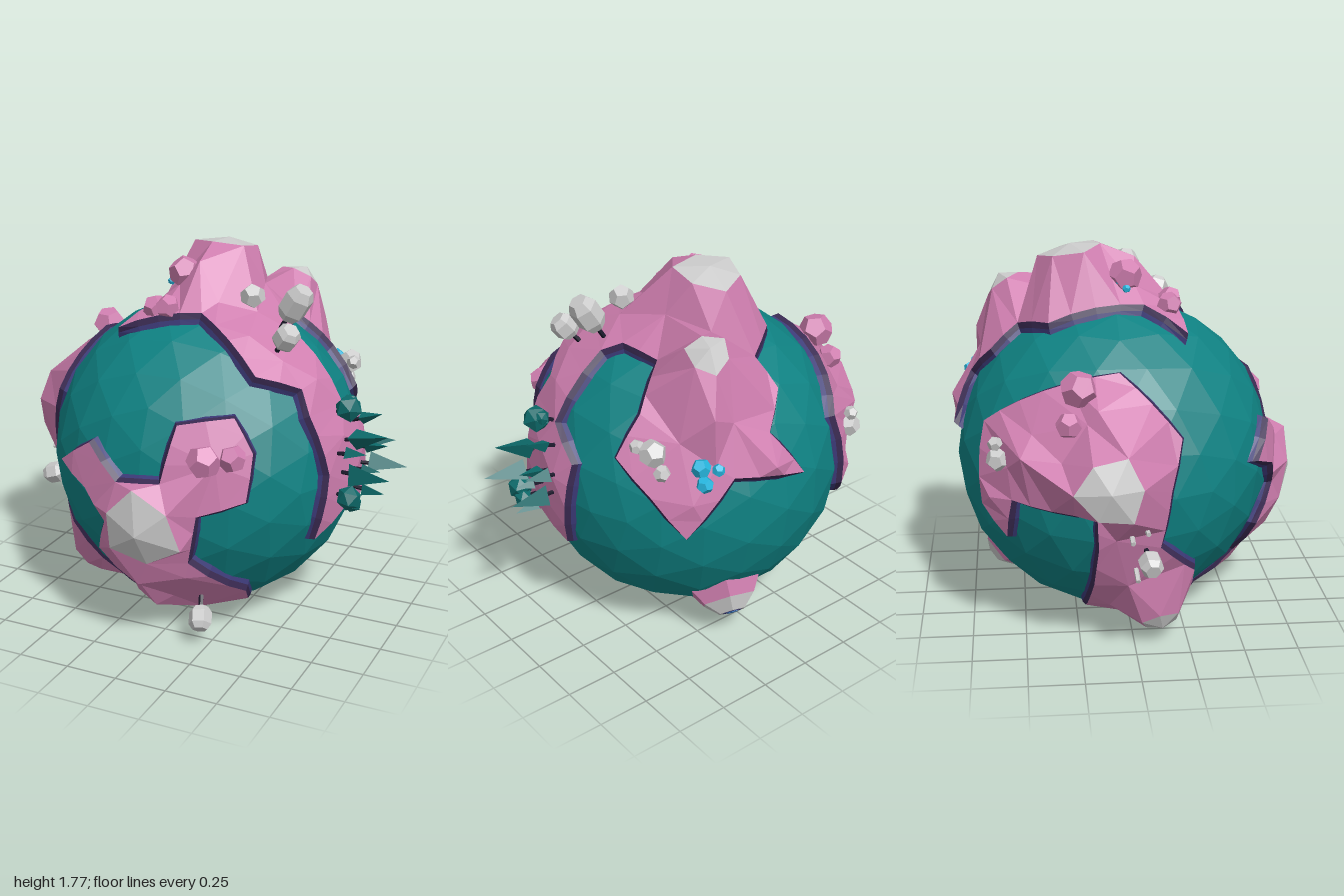
import * as THREE from 'three';

const V = (x, y, z) => new THREE.Vector3(x, y, z);
const mat = (color, side = THREE.FrontSide) => new THREE.MeshStandardMaterial({ color, flatShading: true, side });
const PINK = mat(0xd07fb0), GREY = mat(0xcccccc), TEAL = mat(0x0f8283), LEAF = mat(0x0d6a6a), BLUE = mat(0x27b6de);
const DARK = mat(0x1c1a2c), CLIFF = mat(0x3a2a52, THREE.DoubleSide), SHORE = mat(0x3c3a78, THREE.DoubleSide);
const SEA = 0.756, LAND = 0.792;

// Point on a sphere, from offsets (u right, v up) in a frame facing azimuth / elevation
const frames = { F: [0, 0], R: [90, 0], T: [0, 90], BL: [210, 30], BR: [150, -25] };
function at(frame, u, v, r = LAND) {
  const [a, e] = frames[frame].map(THREE.MathUtils.degToRad);
  const d = Math.sqrt(Math.max(0, r * r - u * u - v * v));
  return V(Math.cos(a), 0, -Math.sin(a)).multiplyScalar(u)
    .addScaledVector(V(-Math.sin(a) * Math.sin(e), Math.cos(e), -Math.cos(a) * Math.sin(e)), v)
    .addScaledVector(V(Math.sin(a) * Math.cos(e), Math.sin(e), Math.cos(a) * Math.cos(e)), d).setLength(r);
}
// Land lies lower towards the south pole
const landRadius = p => LAND - 0.22 * Math.max(0, -p.y - 0.62);

function triMesh(name, points, material) {
  const g = new THREE.BufferGeometry().setFromPoints(points);
  g.computeVertexNormals();
  const m = new THREE.Mesh(g, material);
  m.name = name;
  return m;
}

// Splits triangles at the inner points, then flips edges towards a Delaunay mesh
function triangulate(ring, inner) {
  const pts = [...ring];
  const tris = THREE.ShapeUtils.triangulateShape(ring.slice(), []).map(t => [...t]);
  const cross = (a, b, c) => (b.x - a.x) * (c.y - a.y) - (b.y - a.y) * (c.x - a.x);
  for (const t of tris) if (cross(...t.map(i => pts[i])) < 0) t.reverse();
  const index = inner.map(p => {
    const k = tris.findIndex(([a, b, c]) => cross(pts[a], pts[b], p) > 1e-7 && cross(pts[b], pts[c], p) > 1e-7 && cross(pts[c], pts[a], p) > 1e-7);
    if (k < 0) return -1;
    const [a, b, c] = tris[k], n = pts.push(p) - 1;
    tris[k] = [a, b, n];
    tris.push([b, c, n], [c, a, n]);
    return n;
  });
  const inCircle = (a, b, c, d) => {
    const [p, q, s] = [a, b, c].map(o => [o.x - d.x, o.y - d.y, (o.x - d.x) ** 2 + (o.y - d.y) ** 2]);
    return p[0] * (q[1] * s[2] - q[2] * s[1]) - p[1] * (q[0] * s[2] - q[2] * s[0]) + p[2] * (q[0] * s[1] - q[1] * s[0]) > 1e-9;
  };
  const flipOne = edges => {
    for (let t = 0; t < tris.length; t++) for (let k = 0; k < 3; k++) {
      const a = tris[t][k], b = tris[t][(k + 1) % 3], c = tris[t][(k + 2) % 3], s = edges.get(b + ',' + a);
      if (s === undefined) continue;
      const d = tris[s].find(i => i !== a && i !== b);
      if (!inCircle(pts[a], pts[b], pts[c], pts[d])) continue;
      if (cross(pts[c], pts[a], pts[d]) <= 0 || cross(pts[d], pts[b], pts[c]) <= 0) continue;
      tris[t] = [c, a, d];
      tris[s] = [d, b, c];
      return true;
    }
    return false;
  };
  for (let n = 0; n < 3000; n++) {
    const edges = new Map();
    tris.forEach((t, i) => t.forEach((a, k) => edges.set(a + ',' + t[(k + 1) % 3], i)));
    if (!flipOne(edges)) break;
  }
  return { tris, index };
}

// Raised land with mountains; a peak is [apex, cap angle, cap radius, foot angle], cap angle 0 = no grey cap
function continent(name, outline, centre, peaks) {
  const group = new THREE.Group();
  group.name = name;
  const c = centre.clone().normalize(), e1 = V(0, 1, 0).cross(c).normalize(), e2 = c.clone().cross(e1);
  const flat = p => {
    const x = p.dot(e1), y = p.dot(e2), k = p.angleTo(c) / (Math.hypot(x, y) || 1);
    return new THREE.Vector2(x * k, y * k);
  };
  const ring = [];
  outline.forEach((p, i) => {
    const q = outline[(i + 1) % outline.length], n = Math.ceil(p.distanceTo(q) / 0.13);
    for (let k = 0; k < n; k++) {
      const s = p.clone().lerp(q, k / n).setLength(LAND);
      ring.push(s.setLength(landRadius(s)));
    }
  });
  if (THREE.ShapeUtils.area(ring.map(flat)) < 0) ring.reverse();
  const nodes = [];
  for (const [apex, g, capR] of peaks) {
    nodes.push({ p: apex, grey: g > 0 });
    const d = apex.clone().normalize(), s = d.clone().cross(V(0.3, 0.5, 0.8)).normalize();
    for (let k = 0; g && k < 6; k++)
      nodes.push({ p: d.clone().addScaledVector(s.clone().applyAxisAngle(d, k * Math.PI / 3), Math.tan(g) * (k % 2 ? 1.1 : 0.92)).setLength(capR), grey: true });
  }
  for (let i = 0; i < 210; i++) {
    const y = 1 - (2 * i + 1) / 210, a = i * 2.39996, s = Math.sqrt(1 - y * y);
    const p = V(s * Math.cos(a), y, s * Math.sin(a)).multiplyScalar(LAND);
    if (ring.some(q => q.distanceTo(p) < 0.085)) continue;
    if (peaks.some(k => p.angleTo(k[0]) < k[1] * 1.15 + 0.07)) continue;
    let r = landRadius(p) + 0.008 + 0.01 * Math.sin(i * 4.1);
    for (const [apex, g, capR, foot] of peaks)
      r = Math.max(r, LAND + (capR - LAND) * Math.min(1, (foot - p.angleTo(apex)) / (foot - g)));
    nodes.push({ p: p.setLength(r), grey: false });
  }
  const { tris, index } = triangulate(ring.map(flat), nodes.map(n => flat(n.p)));
  const all = ring.map(p => ({ p, grey: false }));
  index.forEach((n, i) => { if (n >= 0) all[n] = nodes[i]; });
  const land = [], caps = [];
  for (const t of tris) (t.every(i => all[i].grey) ? caps : land).push(...t.map(i => all[i].p));
  group.add(triMesh('land', land, PINK), triMesh('mountainCaps', caps, GREY));
  // Cliff and shore strips around the coast
  const rim = (out, r) => ring.map((p, i) => {
    const n = ring.length, dir = ring[(i + 1) % n].clone().sub(ring[(i + n - 1) % n]).cross(p).normalize();
    return p.clone().addScaledVector(dir, out).setLength(Math.min(r, p.length()));
  });
  const strip = (a, b) => a.flatMap((p, i) => {
    const j = (i + 1) % a.length;
    return [p, b[i], b[j], p, b[j], a[j]];
  });
  const mid = rim(0.018, 0.767);
  group.add(triMesh('cliff', strip(ring, mid), CLIFF), triMesh('shore', strip(mid, rim(0.032, 0.745)), SHORE));
  return group;
}

export function createModel() {
  const model = new THREE.Group();
  model.name = 'planet';
  const world = new THREE.Group();
  world.name = 'world';
  world.position.set(-0.025, 0.758, -0.05);
  model.add(world);
  const put = (name, geometry, material, p, parent = world) => {
    const m = new THREE.Mesh(geometry, material);
    m.name = name;
    m.position.copy(p);
    m.quaternion.setFromUnitVectors(V(0, 1, 0), p.clone().normalize());
    parent.add(m);
    return m;
  };
  put('ocean', new THREE.IcosahedronGeometry(SEA, 3), TEAL, V(0, 0, 0)).quaternion.identity();

  const coast = list => list.map(([f, u, v]) => at(f, u, v));
  // Northern land, reaching down the left side and the back
  world.add(continent('northLand', coast([
    ['T', -.32, -.32], ['T', .08, -.25], ['T', .42, -.41], ['R', -.27, .455], ['R', -.306, .345], ['R', -.28, .065],
    ['R', -.306, -.255], ['R', -.12, -.14], ['R', .07, -.23], ['R', .13, .215], ['R', -.055, .34], ['R', -.03, .64],
    ['R', .045, .685], ['R', .245, .665], ['R', .34, .49], ['R', .33, .31], ['R', .505, .16], ['R', .625, -.035],
    ['BR', .11, .535], ['BR', .45, .425], ['BL', -.4, .06], ['BL', -.235, .19], ['T', -.035, .455], ['T', -.23, .315], ['T', -.19, -.13],
  ]), V(0.5, 0.7, -0.15), [
    [V(.02, 1.012, -.2), .15, 1.015, .3], [V(.295, .82, -.54), .1, .975, .27],
    [V(0, .95, .1), 0, .91, .22], [V(.36, .54, -.66), 0, .88, .22],
    [V(.15, .79, -.37), 0, .8, .1], [V(.1, .27, -.78), 0, .82, .15],
  ]));
  // Front land joined under the planet to the land on its right side
  world.add(continent('southLand', coast([
    ['F', -.465, .075], ['F', -.27, .215], ['F', -.1, .075], ['F', .12, .1], ['F', .165, .355], ['F', .39, .385],
    ['F', .485, .235], ['F', .475, .02], ['F', .28, -.045], ['F', .22, -.3], ['F', .4, -.52], ['BR', -.355, -.645],
    ['BR', -.045, -.765], ['BR', .21, -.67], ['BR', .44, -.62], ['BL', .49, -.6], ['BL', .59, -.43], ['BL', .61, -.3],
    ['BL', .28, -.39], ['BL', .21, -.56], ['BL', .08, -.47], ['BL', .04, -.12], ['BL', .49, .32], ['T', -.7, -.25],
    ['F', -.765, .05], ['F', -.745, -.22], ['F', -.6, -.4], ['F', -.35, -.64], ['F', -.18, -.665], ['F', -.11, -.52],
    ['F', -.255, -.325], ['F', -.175, -.14], ['F', -.285, 0],
  ]), V(-.6, -.3, .5), [
    [V(.045, -.13, .885), .22, .855, .36], [V(-.97, .12, -.08), .16, .945, .33], [V(-.63, -.675, .18), .1, .91, .28],
    [V(0, -.42, .77), 0, .855, .2], [V(0, -.61, .59), 0, .82, .2], [V(-.74, .42, -.12), 0, .85, .22],
    [V(-.7, .2, -.46), 0, .84, .15],
  ]));

  // Crater at the back
  const crater = new THREE.Group();
  crater.name = 'crater';
  world.add(crater);
  const craterDir = V(.165, -.615, -.58).normalize();
  const tier = (name, top, bottom, h, r, m) =>
    put(name, new THREE.CylinderGeometry(top, bottom, h, 6), m, craterDir.clone().multiplyScalar(r), crater);
  tier('craterSlope', .14, .195, .08, .757, PINK);
  tier('craterRim', .07, .14, .06, .827, GREY);
  tier('craterWall', .05, .05, .01, .854, SHORE);
  tier('craterPool', .028, .028, .01, .858, mat(0x2f6fb0));

  // Boulders: position, radius
  const boulders = (name, m, list) => list.forEach(([p, r], i) => {
    put(name, new THREE.DodecahedronGeometry(r, 0), m, p).rotateY(i * 1.3);
  });
  boulders('pinkBoulder', PINK, [
    [at('F', .3, .21, .79), .08], [at('F', .41, .22, .79), .065], [at('BL', .47, .18, .85), .085], [at('BL', .5, .02, .84), .06],
    [V(-.1, .88, .05), .08], [V(-.16, .75, .25), .06], [V(-.09, .76, .26), .06],
  ]);
  boulders('greyBoulder', GREY, [
    [V(.28, .82, .12), .06], [V(.56, .37, -.48), .065], [V(.6, .39, -.42), .035], [V(.54, .28, -.52), .04],
    [at('BL', .21, -.25, .81), .055], [at('BL', .2, -.19, .83), .035],
  ]);
  boulders('crystal', BLUE, [
    [V(.43, .33, -.655), .045], [V(.42, .25, -.67), .04], [V(.37, .32, -.7), .03],
    [V(-.14, .86, .02), .02], [V(-.17, .83, .05), .02],
  ]);

  // Grey-crowned trees on thin dark trunks: crown centre, radius, half height
  for (const [p, r, h] of [[V(.485, .8, .1), .068, .085], [V(.505, .685, .26), .06, .055], [V(-.84, -.255, .1), .054, .055],
    [V(.235, -.625, .6), .055, .055]]) {
    const profile = [[0, -1], [.65, -1], [1, -.5], [1, .5], [.65, 1], [0, 1]].map(([x, y]) => new THREE.Vector2(x * r, y * h));
    put('treeTrunk', new THREE.CylinderGeometry(.012, .012, .16, 5), DARK, p.clone().setLength(p.length() - .09));
    put('treeCrown', new THREE.LatheGeometry(profile, 6), GREY, p);
  }
  // Small pale stumps
  for (const [y, z] of [[-.1, .08], [-.14, .02], [-.31, .1], [-.36, .05]])
    put('stump', new THREE.CylinderGeometry(.012, .012, .08, 5), GREY, V(-.76, y, z).setLength(.82));

  // Grove on the left side: pointed trees (u, v, size) and round trees
  for (const [u, v, s] of [[-.2, .155, .6], [-.13, .2, 1], [-.015, .26, .6], [-.025, .135, .6], [.035, .14, .7],
    [-.175, .055, 1.1], [-.08, .045, .5], [.02, .04, 1], [-.06, -.055, .6]]) {
    const foot = at('R', u, v - .008);
    put('pineTrunk', new THREE.CylinderGeometry(.01, .01, .08, 5), DARK, foot.clone().setLength(.81));
    put('pineCrown', new THREE.ConeGeometry(.056 * s, .18 * s, 3), LEAF, foot.clone().setLength(.835 + .09 * s)).rotateY(u * 20);
  }
  for (const [u, v, r] of [[-.12, .325, .066], [-.215, -.05, .06], [-.18, -.085, .045], [-.08, .345, .035]]) {
    const foot = at('R', u, v, .8);
    put('bushTrunk', new THREE.CylinderGeometry(.01, .01, .08, 5), DARK, foot);
    put('bushCrown', new THREE.IcosahedronGeometry(r, 0), LEAF, foot.clone().setLength(.85));
  }
  return model;
}
